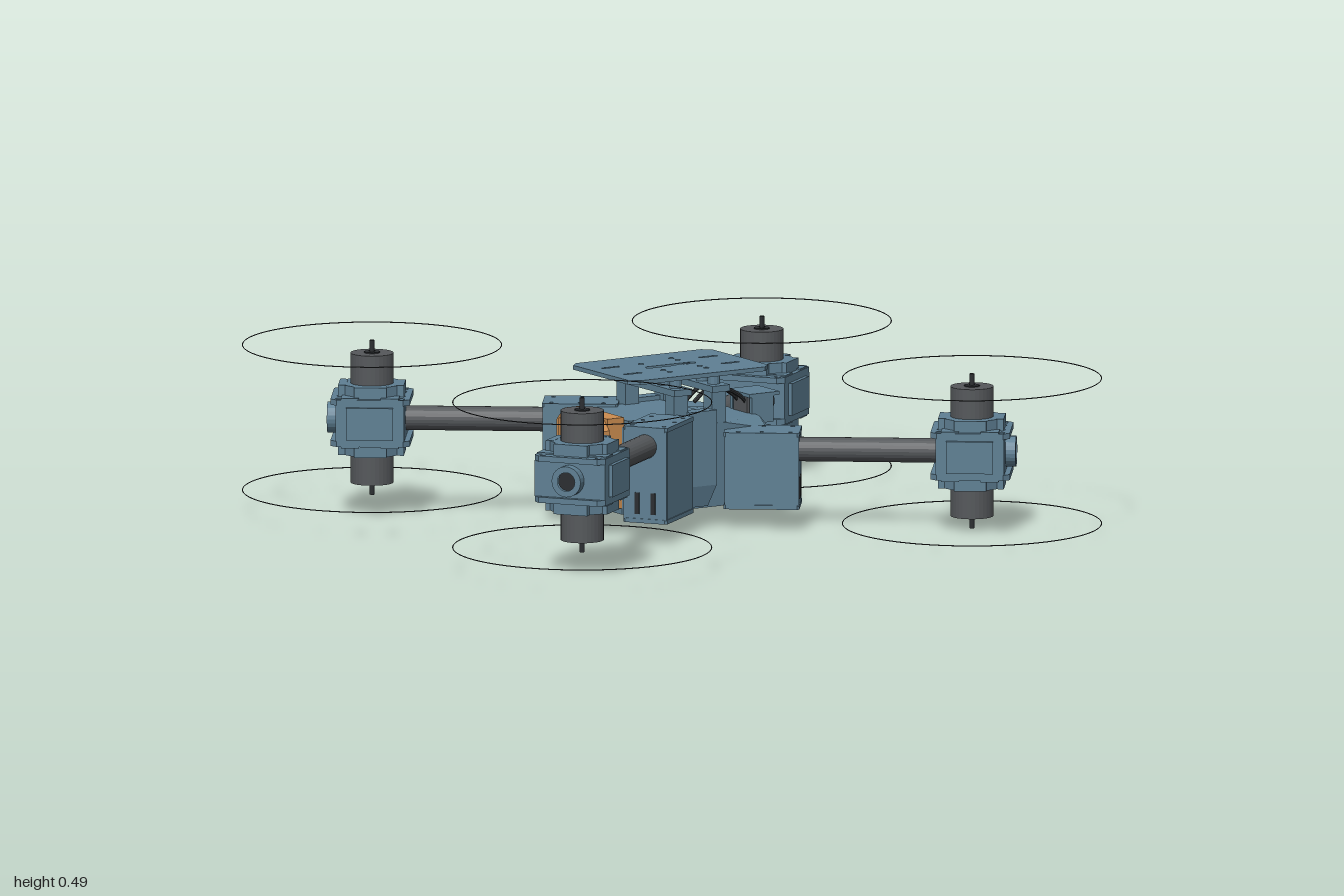
import * as THREE from 'three';
import { ConvexGeometry } from 'three/addons/geometries/ConvexGeometry.js';

const mat = (color) => {
  const m = new THREE.MeshStandardMaterial({ color: 0xcccccc, flatShading: true, side: THREE.DoubleSide });
  m.color.set(color);
  return m;
};
const blue = mat(0x5f8094), dark = mat(0x55585b), black = mat(0x2a2d30), orange = mat(0xcc8d50);

function add(parent, name, geo, material, x = 0, y = 0, z = 0) {
  const m = new THREE.Mesh(geo, material);
  m.name = name;
  m.position.set(x, y, z);
  parent.add(m);
  return m;
}
const box = (w, h, d) => new THREE.BoxGeometry(w, h, d);
const cyl = (r, h, n = 32) => new THREE.CylinderGeometry(r, r, h, n);

// Rectangle with cut corners
function cutRect(w, h, c) {
  const a = w / 2, b = h / 2;
  return new THREE.Shape([[-a + c, -b], [a - c, -b], [a, -b + c], [a, b - c], [a - c, b], [-a + c, b], [-a, b - c], [-a, -b + c]]
    .map(([x, y]) => new THREE.Vector2(x, y)));
}
// Round-ended slot (len = 0 gives a round hole); along the shape's x axis
function slot(shape, x, y, len, r) {
  const p = new THREE.Path();
  p.absarc(x + len / 2, y, r, -Math.PI / 2, Math.PI / 2, false);
  p.absarc(x - len / 2, y, r, Math.PI / 2, Math.PI * 1.5, false);
  shape.holes.push(p);
}
// Flat plate lying in xz, its underside at y = 0
const plate = (shape, t) => new THREE.ExtrudeGeometry(shape, { depth: t, bevelEnabled: false, curveSegments: 6 })
  .rotateX(-Math.PI / 2);

// Clamp, two opposed motors and propeller rings, centred on the local origin
function motorPod() {
  const g = new THREE.Group();
  g.name = 'motorPod';
  add(g, 'clampBlock', box(0.19, 0.1, 0.21), blue);
  for (const s of [-1, 1]) {
    add(g, 'clampSide', box(0.13, 0.09, 0.02), blue, 0, 0, s * 0.106);
    add(g, 'clampRidge', box(0.05, 0.14, 0.205), blue, s * 0.055, 0, 0);
    // Drilled motor plate
    const sh = cutRect(0.22, 0.21, 0.018);
    for (const x of [-1, 1]) for (const z of [-1, 1]) {
      slot(sh, x * 0.087, z * 0.082, 0, 0.009);
      slot(sh, x * 0.087, z * 0.035, 0, 0.008);
      slot(sh, x * 0.04, z * 0.087, 0, 0.008);
    }
    add(g, 'motorPlate', plate(sh, 0.016), blue, 0, s * 0.058 - 0.008, 0);
    add(g, 'motorSeat', plate(cutRect(0.16, 0.155, 0.035), 0.04), blue, 0, s * 0.078 - 0.02, 0);
    for (const x of [-1, 1]) add(g, 'seatRib', box(0.022, 0.045, 0.1), blue, x * 0.08, s * 0.076, 0);
    for (const z of [-1, 1]) add(g, 'seatRib', box(0.09, 0.045, 0.022), blue, 0, s * 0.076, z * 0.08);
    add(g, 'motor', cyl(0.06, 0.1), dark, 0, s * 0.132, 0);
    add(g, 'motorCap', cyl(0.022, 0.006, 16), black, 0, s * 0.182, 0);
    add(g, 'shaft', cyl(0.007, 0.04, 12), black, 0, s * 0.197, 0);
    add(g, 'propellerRing', new THREE.TorusGeometry(0.3585, 0.0015, 4, 96).rotateX(Math.PI / 2), black, 0, s * 0.204, 0);
  }
  // Outer collar around the open end of the arm
  add(g, 'armCollar', new THREE.CylinderGeometry(0.043, 0.043, 0.03, 24, 1, true).rotateZ(Math.PI / 2), blue, 0.108, 0, 0);
  add(g, 'armEnd', new THREE.RingGeometry(0.026, 0.043, 24).rotateY(Math.PI / 2), blue, 0.123, 0, 0);
  add(g, 'armBore', cyl(0.027, 0.01, 24).rotateZ(Math.PI / 2), black, 0.108, 0, 0);
  return g;
}

// Socket block, tube arm and motor pod; local +x points outward
function arm(sx, sz) {
  const g = new THREE.Group();
  g.name = 'arm';
  const cy = sx < 0 ? 0.28 : 0.225, top = sx < 0 ? 0.335 : 0.28, bottom = 0.065;
  g.position.set(sx * 0.64, cy, sz * 0.54);
  g.rotation.y = -Math.atan2(sz * 0.28, sx * 0.385);
  g.add(motorPod());
  add(g, 'armTube', cyl(0.034, 0.53, 24).rotateZ(Math.PI / 2), dark, -0.35, 0, 0);

  const h = top - bottom, mid = (top + bottom) / 2 - cy;
  add(g, 'armSocket', box(0.205, h - 0.024, 0.124), blue, -0.58, mid, 0);
  for (const s of [-1, 1]) {
    const lid = cutRect(0.21, 0.13, 0.006);
    for (const x of [-0.085, -0.02, 0.06]) for (const z of [-1, 1]) slot(lid, x + 0.02, z * 0.047, 0, 0.006);
    add(g, 'socketLid', plate(lid, 0.012), blue, -0.58, mid + s * (h / 2 - 0.006) - 0.006, 0);
    add(g, 'ventSlot', box(0.004, 0.06, 0.013), black, -0.4765, bottom + 0.055 - cy, s * 0.024);
    add(g, 'socketEdge', box(0.012, h - 0.02, 0.012), blue, -0.482, mid, s * 0.058);
  }
  return g;
}

export function createModel() {
  const model = new THREE.Group();
  model.name = 'quadcopter';

  for (const sx of [-1, 1]) for (const sz of [-1, 1]) model.add(arm(sx, sz));

  // Faceted fuselage with a tapered nose
  const pts = [];
  for (const s of [-1, 1]) {
    for (const [x, y, z] of [
      [-0.235, 0.065, 0.11], [-0.1, 0.065, 0.14], [0.1, 0.065, 0.14], [0.2, 0.065, 0.12], [0.265, 0.065, 0.06],
      [-0.235, 0.31, 0.11], [-0.1, 0.31, 0.15], [0.08, 0.3, 0.15], [0.22, 0.27, 0.14], [0.29, 0.24, 0.065],
      [0.295, 0.15, 0.06], [0.235, 0.295, 0.08], [0.22, 0.14, 0.14],
    ]) pts.push(new THREE.Vector3(x, y, s * z));
  }
  add(model, 'fuselage', new ConvexGeometry(pts), blue);
  add(model, 'nosePanel', box(0.02, 0.1, 0.1), blue, 0.29, 0.2, 0);
  for (const s of [-1, 1]) {
    // Side pillar between the sockets
    add(model, 'sidePillar', new ConvexGeometry([
      [-0.045, 0.34], [0.045, 0.34], [-0.045, 0.13], [0.045, 0.13], [-0.025, 0.07], [0.025, 0.07],
    ].flatMap(([x, y]) => [new THREE.Vector3(x, y, s * 0.12), new THREE.Vector3(x, y, s * (y < 0.1 ? 0.145 : 0.16))])), blue);
  }
  add(model, 'upperDeck', box(0.26, 0.025, 0.24), blue, -0.09, 0.315, 0);

  // Top plate on two cross bars with posts
  const topShape = cutRect(0.46, 0.33, 0.025);
  slot(topShape, 0, 0, 0.14, 0.011);
  for (const x of [-1, 1]) {
    slot(topShape, x * 0.06, 0, 0, 0.004);
    for (const z of [-1, 1]) {
      slot(topShape, x * 0.16, z * 0.057, 0.05, 0.005);
      slot(topShape, x * 0.06, z * 0.09, 0, 0.008);
      slot(topShape, x * 0.06, z * 0.057, 0, 0.008);
    }
  }
  topShape.holes.splice(1, 1);
  topShape.holes.splice(5, 1);
  add(model, 'topPlate', plate(topShape, 0.012), blue, -0.005, 0.435, 0);
  for (const x of [-0.065, 0.06]) {
    add(model, 'crossBar', box(0.058, 0.018, 0.32), blue, x, 0.398, 0);
    for (const s of [-1, 1]) {
      add(model, 'lowerPost', box(0.045, 0.1, 0.045), blue, x, 0.345, s * 0.125);
      for (const z of [0.06, 0.12]) add(model, 'upperPost', cyl(0.017, 0.035, 12), blue, x, 0.421, s * z);
    }
  }

  // Rear battery with slotted cover
  add(model, 'battery', box(0.055, 0.255, 0.22), orange, -0.255, 0.21, 0);
  const cover = cutRect(0.24, 0.26, 0.03);
  for (const z of [-0.06, 0, 0.06]) for (const y of [-0.08, -0.045, -0.01, 0.025]) slot(cover, z, y, 0.025, 0.006);
  add(model, 'batteryCover', new THREE.ExtrudeGeometry(cover, { depth: 0.02, bevelEnabled: false, curveSegments: 6 })
    .rotateY(Math.PI / 2), orange, -0.302, 0.206, 0);
  for (const z of [-0.075, 0, 0.075]) add(model, 'coverLatch', box(0.014, 0.05, 0.035), orange, -0.306, 0.29, z);

  // Nose camera, its bracket and cable
  add(model, 'cameraBody', box(0.075, 0.055, 0.07), dark, 0.262, 0.318, 0);
  add(model, 'cameraLens', cyl(0.022, 0.03, 20).rotateZ(Math.PI / 2), black, 0.308, 0.318, 0);
  for (const s of [-1, 1]) add(model, 'cameraBracket', box(0.07, 0.075, 0.012), blue, 0.262, 0.305, s * 0.05);
  add(model, 'cameraHood', box(0.1, 0.01, 0.112), blue, 0.268, 0.346, 0);
  for (const s of [-1, 1]) {
    const path = new THREE.CatmullRomCurve3([[0.06, 0.34], [0.1, 0.37], [0.17, 0.365], [0.22, 0.335], [0.24, 0.31]]
      .map(([x, y]) => new THREE.Vector3(x, y, s * 0.02)));
    add(model, 'cable', new THREE.TubeGeometry(path, 20, 0.006, 8), black);
  }
  return model;
}
